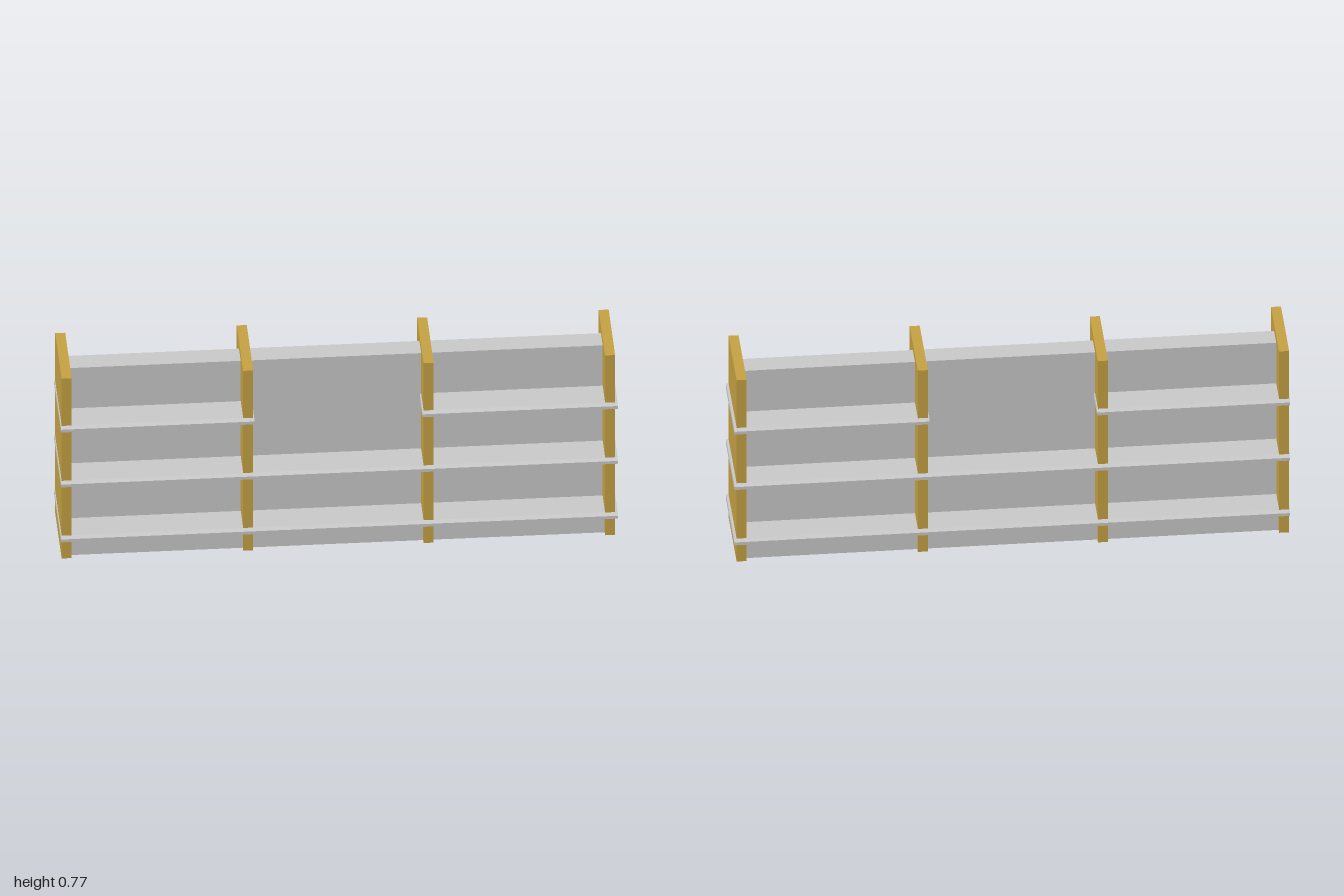
import * as THREE from 'three';

export function createModel() {
  const model = new THREE.Group();
  const grey = new THREE.MeshStandardMaterial({ color: 0xcccccc });
  const wood = new THREE.MeshStandardMaterial({ color: 0xc8a444 });

  function add(name, geometry, material, x, y, z) {
    const mesh = new THREE.Mesh(geometry, material);
    mesh.name = name;
    mesh.position.set(x, y, z);
    model.add(mesh);
  }

  // Four upright boards, evenly spaced
  const postHeight = 0.77, postWidth = 0.036;
  [-0.979, -0.327, 0.321, 0.973].forEach((x, i) => {
    add(`upright${i + 1}`, new THREE.BoxGeometry(postWidth, postHeight, 0.298), wood, x, postHeight / 2, 0);
  });

  // Central divider panel and the plinth beneath the lowest shelf
  add('dividerPanel', new THREE.BoxGeometry(1.94, 0.665, 0.08), grey, -0.003, 0.4075, -0.003);
  add('plinth', new THREE.BoxGeometry(1.94, 0.08, 0.262), grey, -0.003, 0.041, 0);

  // Shelf cross-section with bevelled upper long edges
  const profile = new THREE.Shape([
    [-0.158, 0], [0.158, 0], [0.158, 0.012], [0.149, 0.0225], [-0.149, 0.0225], [-0.158, 0.012],
  ].map(([z, y]) => new THREE.Vector2(z, y)));

  function addShelf(name, x0, x1, y) {
    const geometry = new THREE.ExtrudeGeometry(profile, { depth: x1 - x0, bevelEnabled: false });
    geometry.rotateY(Math.PI / 2);
    add(name, geometry, grey, x0, y, 0);
  }

  // Two full-length shelves and two short upper ones
  addShelf('lowerShelf', -1, 1, 0.075);
  addShelf('middleShelf', -1, 1, 0.31);
  addShelf('upperShelfRight', -1, -0.305, 0.545);
  addShelf('upperShelfLeft', 0.298, 1, 0.545);

  return model;
}
